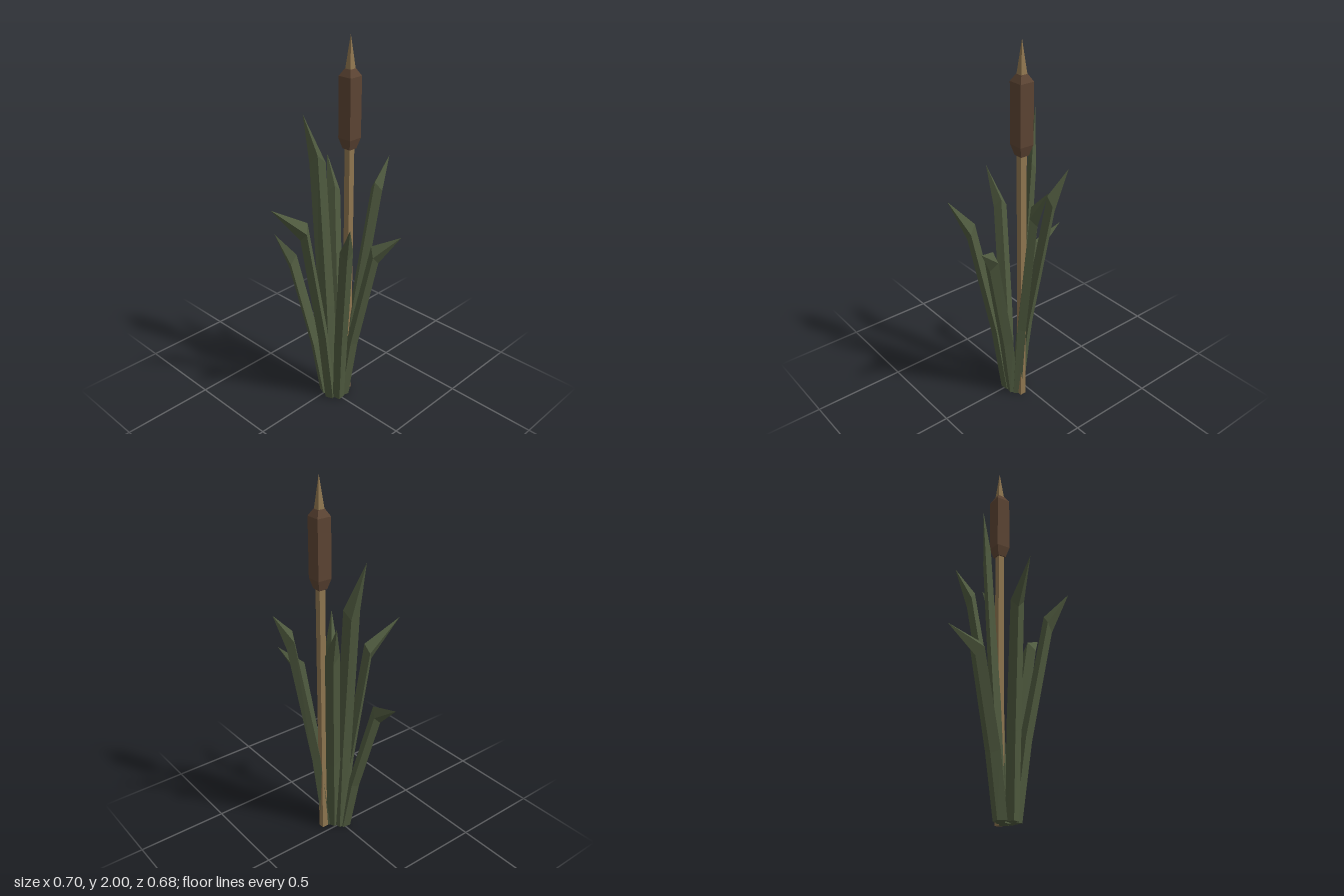
import * as THREE from 'three';

const leafGreen = new THREE.MeshStandardMaterial({ color: 0x4f5a3f, flatShading: true });
const stemTan = new THREE.MeshStandardMaterial({ color: 0x8f7650, flatShading: true });
const headBrown = new THREE.MeshStandardMaterial({ color: 0x5c4433, flatShading: true });

// Blades: base [x,z], shoulder [x,y,z], tip [x,y,z], half width vector at the shoulder [x,z]
const BLADES = [
  { base: [0.075, -0.04], shoulder: [0.24, 0.93, -0.085], tip: [0.35, 1.04, -0.155], w: [0.018, 0.034] },
  { base: [0.08, 0.005], shoulder: [0.222, 1.01, 0.105], tip: [0.31, 1.18, 0.175], w: [0.02, -0.027] },
  { base: [0.06, -0.065], shoulder: [0.103, 1.2, -0.245], tip: [0.1, 1.36, -0.34], w: [0.033, -0.005] },
  { base: [0.03, -0.035], shoulder: [-0.1, 1.16, -0.135], tip: [-0.18, 1.34, -0.17], w: [0.017, -0.033] },
  { base: [0.0, -0.01], shoulder: [-0.085, 1.36, -0.005], tip: [-0.14, 1.61, 0.04], w: [0.028, -0.03] },
  { base: [-0.015, 0.015], shoulder: [-0.19, 0.79, 0.08], tip: [-0.35, 0.89, 0.065], w: [0.02, 0.034] },
  { base: [0.042, 0.032], shoulder: [-0.012, 1.06, 0.165], tip: [-0.055, 1.22, 0.34], w: [0.033, 0.012] },
];

// Diamond-section blade: base ring, lower bend, shoulder ring, pointed tip
function bladeGeometry({ base, shoulder, tip, w }) {
  let [wx, wz] = w;
  if (wz * (tip[0] - shoulder[0]) - wx * (tip[2] - shoulder[2]) < 0) { wx = -wx; wz = -wz; }
  const len = Math.hypot(wx, wz);
  const out = [wz / len, -wx / len];

  // t: fraction from base to shoulder, s: width scale, depth and tilt of the ridges
  const ring = (t, y, s, depth, tilt) => {
    const cx = base[0] + (shoulder[0] - base[0]) * t;
    const cz = base[1] + (shoulder[2] - base[1]) * t;
    return [
      [cx + wx * s, y, cz + wz * s],
      [cx + out[0] * depth, y - tilt, cz + out[1] * depth],
      [cx - wx * s, y, cz - wz * s],
      [cx - out[0] * depth, y + tilt, cz - out[1] * depth],
    ];
  };
  const rings = [
    ring(0, 0, 0.95, 0.03, 0),
    ring(0.31, shoulder[1] * 0.4, 1.05, 0.027, 0.02),
    ring(1, shoulder[1], 1, 0.02, 0.045),
  ];

  const pos = [];
  const tri = (a, b, c) => pos.push(...a, ...b, ...c);
  for (let i = 0; i < 4; i++) {
    const j = (i + 1) % 4;
    for (let r = 0; r < 2; r++) {
      const a = rings[r], b = rings[r + 1];
      tri(a[i], a[j], b[j]);
      tri(a[i], b[j], b[i]);
    }
    tri(rings[2][i], rings[2][j], tip);
  }
  const [p, q, u, v] = rings[0];
  tri(p, u, q);
  tri(p, v, u);

  const geo = new THREE.BufferGeometry();
  geo.setAttribute('position', new THREE.Float32BufferAttribute(pos, 3));
  geo.computeVertexNormals();
  return geo;
}

// Square tapered section between two heights, given by half widths
function section(name, y0, y1, half0, half1, material) {
  const geo = new THREE.CylinderGeometry(half1 * Math.SQRT2, half0 * Math.SQRT2, y1 - y0, 4);
  geo.rotateY(Math.PI / 4);
  const mesh = new THREE.Mesh(geo, material);
  mesh.name = name;
  mesh.position.y = (y0 + y1) / 2;
  return mesh;
}

export function createModel() {
  const group = new THREE.Group();
  group.name = 'reedPlant';

  const leaves = new THREE.Group();
  leaves.name = 'leaves';
  BLADES.forEach((blade, i) => {
    const mesh = new THREE.Mesh(bladeGeometry(blade), leafGreen);
    mesh.name = `leaf${i + 1}`;
    leaves.add(mesh);
  });
  group.add(leaves);

  // Flower stalk with its seed head and spike
  const stalk = new THREE.Group();
  stalk.name = 'stalk';
  stalk.position.set(0.052, 0, -0.09);
  stalk.add(
    section('stem', 0, 1.46, 0.017, 0.017, stemTan),
    section('seedHeadBottom', 1.45, 1.505, 0.024, 0.039, headBrown),
    section('seedHead', 1.505, 1.81, 0.039, 0.039, headBrown),
    section('seedHeadTop', 1.81, 1.845, 0.039, 0.019, headBrown),
    section('spike', 1.84, 2, 0.018, 0.0005, stemTan),
  );
  group.add(stalk);
  return group;
}
